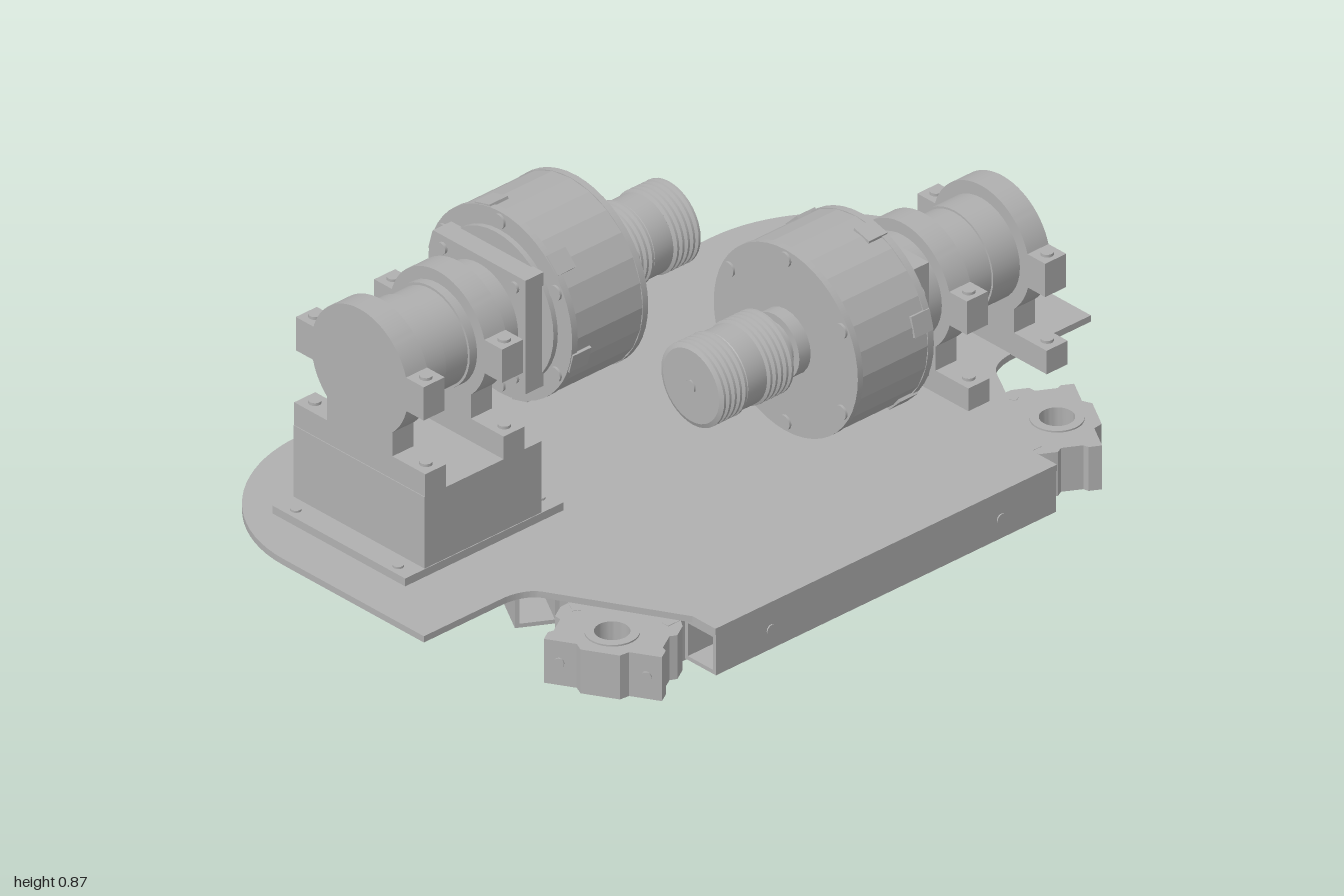
import * as THREE from 'three';
import { toCreasedNormals } from 'three/addons/utils/BufferGeometryUtils.js';

const metal = new THREE.MeshStandardMaterial({ color: 0xb0b0b0 });
metal.name = 'plain grey';

function add(parent, name, geometry, x = 0, y = 0, z = 0) {
  const mesh = new THREE.Mesh(geometry, metal);
  mesh.name = name;
  mesh.position.set(x, y, z);
  parent.add(mesh);
  return mesh;
}

// Box given by its limits on each axis
function box(parent, name, x0, x1, y0, y1, z0, z1) {
  return add(parent, name, new THREE.BoxGeometry(x1 - x0, y1 - y0, z1 - z0),
    (x0 + x1) / 2, (y0 + y1) / 2, (z0 + z1) / 2);
}

// Cylinder along z from z0 to z1
function rod(parent, name, r, z0, z1, x = 0, y = 0, sides = 40) {
  const g = new THREE.CylinderGeometry(r, r, z1 - z0, sides).rotateX(Math.PI / 2);
  return add(parent, name, g, x, y, (z0 + z1) / 2);
}

const extrude = (shape, depth) => toCreasedNormals(
  new THREE.ExtrudeGeometry(shape, { depth, bevelEnabled: false, curveSegments: 20 }), 0.5);

// Horizontal slab from a plan drawn in x and z
function slab(parent, name, shape, y0, y1) {
  return add(parent, name, extrude(shape, y1 - y0).rotateX(Math.PI / 2), 0, y1, 0);
}

const polygon = (pts) => new THREE.Shape(pts.map((p) => new THREE.Vector2(...p)));

function hole(shape, x, y, r) {
  shape.holes.push(new THREE.Path().absarc(x, y, r, 0, Math.PI * 2, true));
  return shape;
}

function disc(x, y, r) {
  return new THREE.Shape().absarc(x, y, r, 0, Math.PI * 2, false);
}

// Saddle clamp: wide foot, narrow neck, round barrel with two bolt ears
function clampShape() {
  const r = 0.155, s = new THREE.Shape();
  const low = Math.acos(0.105 / r), earLow = Math.asin(0.04 / r), earTop = Math.asin(0.045 / r);
  s.moveTo(-0.21, -0.235);
  s.lineTo(0.21, -0.235);
  s.lineTo(0.21, -0.175);
  s.lineTo(0.105, -0.175);
  s.absarc(0, 0, r, -low, -earLow, false);
  s.lineTo(0.205, -0.04);
  s.lineTo(0.205, 0.045);
  s.absarc(0, 0, r, earTop, Math.PI - earTop, false);
  s.lineTo(-0.205, 0.045);
  s.lineTo(-0.205, -0.04);
  s.absarc(0, 0, r, Math.PI + earLow, Math.PI + low, false);
  s.lineTo(-0.105, -0.175);
  s.lineTo(-0.21, -0.175);
  return s;
}

// Motor with its axis on z: drum at the origin, tail towards +z
function motor(name) {
  const g = new THREE.Group();
  g.name = name;

  // Grooved drum
  const pts = [[0, -0.11], [0.09, -0.11]];
  const grooves = (z0) => {
    for (let i = 0; i < 5; i++) {
      const z = z0 + i * 0.016;
      pts.push([0.092, z], [0.101, z + 0.004], [0.101, z + 0.01], [0.092, z + 0.014]);
    }
  };
  grooves(-0.109);
  pts.push([0.096, -0.028], [0.096, 0.028]);
  grooves(0.03);
  pts.push([0.09, 0.11], [0, 0.11]);
  const drum = new THREE.LatheGeometry(pts.map((p) => new THREE.Vector2(...p)), 36);
  add(g, 'groovedDrum', toCreasedNormals(drum.rotateX(Math.PI / 2), 0.4));
  rod(g, 'drumScrew', 0.016, -0.114, -0.1, 0, 0, 6);

  // Output neck and gearbox
  rod(g, 'outputNeck', 0.062, 0.1, 0.145, 0, 0, 24);
  rod(g, 'outputCollar', 0.08, 0.14, 0.18, 0, 0, 24);
  const gear = new THREE.CylinderGeometry(0.23, 0.23, 0.225, 24).rotateX(Math.PI / 2);
  add(g, 'gearbox', toCreasedNormals(gear, 0.1), 0, 0, 0.2875);
  rod(g, 'gearboxFrontRim', 0.231, 0.174, 0.19, 0, 0, 48);
  rod(g, 'gearboxRearRim', 0.231, 0.385, 0.402, 0, 0, 48);
  rod(g, 'gearboxStep', 0.185, 0.4, 0.415);
  for (let i = 0; i < 6; i++) {
    const a = Math.PI / 2 + i * Math.PI / 3;
    rod(g, 'gearboxBolt', 0.018, 0.168, 0.408, 0.208 * Math.cos(a), 0.208 * Math.sin(a), 16);
    const tab = box(g, 'gearboxTab', -0.025, 0.025, -0.004, 0.004, 0.345, 0.4);
    const b = a + 0.26;
    tab.position.set(0.23 * Math.cos(b), 0.23 * Math.sin(b), 0.3725);
    tab.rotation.z = b - Math.PI / 2;
  }

  // Square flange with corner screws
  box(g, 'squareFlange', -0.148, 0.148, -0.145, 0.145, 0.41, 0.465);
  for (const x of [-0.115, 0.115]) for (const y of [-0.115, 0.115]) {
    rod(g, 'flangeScrew', 0.014, 0.46, 0.472, x, y, 12);
  }

  // Motor can
  rod(g, 'motorCan', 0.125, 0.46, 0.61);
  rod(g, 'motorCanMiddle', 0.119, 0.6, 0.69);
  rod(g, 'motorCanRear', 0.124, 0.68, 0.78);

  // Two clamps and their bolts
  for (const z of [0.525, 0.76]) {
    add(g, 'saddleClamp', extrude(clampShape(), 0.063), 0, 0, z);
    for (const x of [-0.178, 0.178]) for (const y of [0.047, -0.173]) {
      add(g, 'clampBolt', new THREE.CylinderGeometry(0.015, 0.015, 0.01, 14), x, y, z + 0.031);
    }
  }
  return g;
}

function basePlate(parent) {
  const s = new THREE.Shape();
  s.moveTo(0.28, -1);
  s.lineTo(-0.17, -1);
  s.bezierCurveTo(-0.37, -1, -0.53, -0.82, -0.53, -0.62);
  s.lineTo(-0.53, -0.29);
  s.quadraticCurveTo(-0.525, -0.245, -0.49, -0.23);
  s.lineTo(-0.49, 0.23);
  s.quadraticCurveTo(-0.525, 0.245, -0.53, 0.29);
  s.lineTo(-0.53, 0.62);
  s.bezierCurveTo(-0.53, 0.82, -0.37, 1, -0.17, 1);
  s.lineTo(0.28, 1);
  s.lineTo(0.28, 0.76);
  s.quadraticCurveTo(0.285, 0.7, 0.32, 0.68);
  s.lineTo(0.62, 0.512);
  s.lineTo(0.693, 0.512);
  s.lineTo(0.693, -0.512);
  s.lineTo(0.62, -0.512);
  s.lineTo(0.32, -0.68);
  s.quadraticCurveTo(0.285, -0.7, 0.28, -0.76);
  slab(parent, 'basePlate', s, 0.184, 0.2);
}

// Three hollow bars in a triangle, with bolted arms inside each end
function frame(parent) {
  for (let k = 0; k < 3; k++) {
    const side = new THREE.Group();
    side.name = 'frameSide';
    side.position.x = 0.1425;
    side.rotation.y = k * Math.PI * 2 / 3;
    const half = k === 0 ? 0.51 : 0.436;
    const tube = polygon([[0.45, 0.08], [0.55, 0.08], [0.55, 0.184], [0.45, 0.184]]);
    tube.holes.push(new THREE.Path([[0.46, 0.09], [0.46, 0.174], [0.54, 0.174], [0.54, 0.09]]
      .map((p) => new THREE.Vector2(...p))));
    add(side, 'hollowBar', extrude(tube, 2 * half), 0, 0, -half);
    for (const m of [-1, 1]) {
      const arm = box(side, 'bracketArm', 0.43, 0.45, 0.075, 0.183, 0.24, 0.56);
      arm.position.z *= m;
      for (const z of [0.3, 0.4]) {
        const bolt = new THREE.CylinderGeometry(0.013, 0.013, 0.01, 12).rotateZ(Math.PI / 2);
        add(side, 'armBolt', bolt, 0.428, 0.13, m * z);
      }
      const plug = new THREE.CylinderGeometry(0.013, 0.013, 0.006, 12).rotateZ(Math.PI / 2);
      add(side, 'barBolt', plug, 0.55, 0.13, m * 0.345);
    }
    parent.add(side);
  }
}

// Caster brackets at the two right-hand corners
function cornerBracket(parent, sign) {
  const g = new THREE.Group();
  g.name = 'cornerBracket';
  g.position.x = 0.1425;
  g.rotation.y = sign * Math.PI / 3;
  const s = polygon([[0.66, -0.12], [0.7, -0.14], [0.74, -0.14], [0.75, -0.125], [0.8, -0.125],
    [0.81, -0.135], [0.84, -0.135], [0.84, -0.06], [0.86, -0.045], [0.86, 0.045], [0.84, 0.06],
    [0.84, 0.135], [0.81, 0.135], [0.8, 0.125], [0.75, 0.125], [0.74, 0.14], [0.7, 0.14], [0.66, 0.12]]);
  slab(g, 'bracketBody', hole(s, 0.77, 0, 0.06), 0.07, 0.182);
  slab(g, 'bracketBush', hole(disc(0.77, 0, 0.061), 0.77, 0, 0.04), 0.075, 0.186);
  for (const z of [-0.1, 0.1]) {
    const bolt = new THREE.CylinderGeometry(0.012, 0.012, 0.008, 12).rotateZ(Math.PI / 2);
    add(g, 'bracketBolt', bolt, 0.84, 0.128, z);
  }
  parent.add(g);
}

// Flat bracket with a hollow post on the left-hand corner
function postBracket(parent) {
  const plan = (x1, w) => {
    const s = hole(polygon([[-0.7, -w], [x1, -w], [x1, w], [-0.7, w]]), -0.607, 0, 0.04);
    for (const x of [-0.675, -0.535]) for (const z of [-0.068, 0.068]) hole(s, x, z, 0.011);
    return s;
  };
  slab(parent, 'postBracketTop', plan(-0.488, 0.125), 0.184, 0.2);
  slab(parent, 'postBracketBase', plan(-0.515, 0.12), 0.148, 0.18);
  box(parent, 'postBracketBlock', -0.525, -0.45, 0.085, 0.183, -0.13, 0.13);
  slab(parent, 'supportPost', hole(disc(-0.607, 0, 0.07), -0.607, 0, 0.038), 0, 0.185);
}

export function createModel() {
  const model = new THREE.Group();
  model.name = 'twinMotorPlatform';
  basePlate(model);
  frame(model);
  cornerBracket(model, 1);
  cornerBracket(model, -1);
  postBracket(model);

  // Front motor on a raised pedestal
  box(model, 'pedestalFoot', -0.328, 0.097, 0.2, 0.22, 0.41, 0.885);
  box(model, 'pedestal', -0.325, 0.095, 0.215, 0.402, 0.475, 0.825);
  for (const x of [-0.28, 0.048]) for (const z of [0.435, 0.86]) {
    add(model, 'pedestalScrew', new THREE.CylinderGeometry(0.013, 0.013, 0.008, 12), x, 0.221, z);
  }
  const front = motor('frontMotor');
  front.position.set(-0.115, 0.635, 0);
  model.add(front);

  // Rear motor bolted straight to the plate, facing the other way
  const rear = motor('rearMotor');
  rear.position.set(0.185, 0.433, 0);
  rear.rotation.y = Math.PI;
  model.add(rear);
  return model;
}
